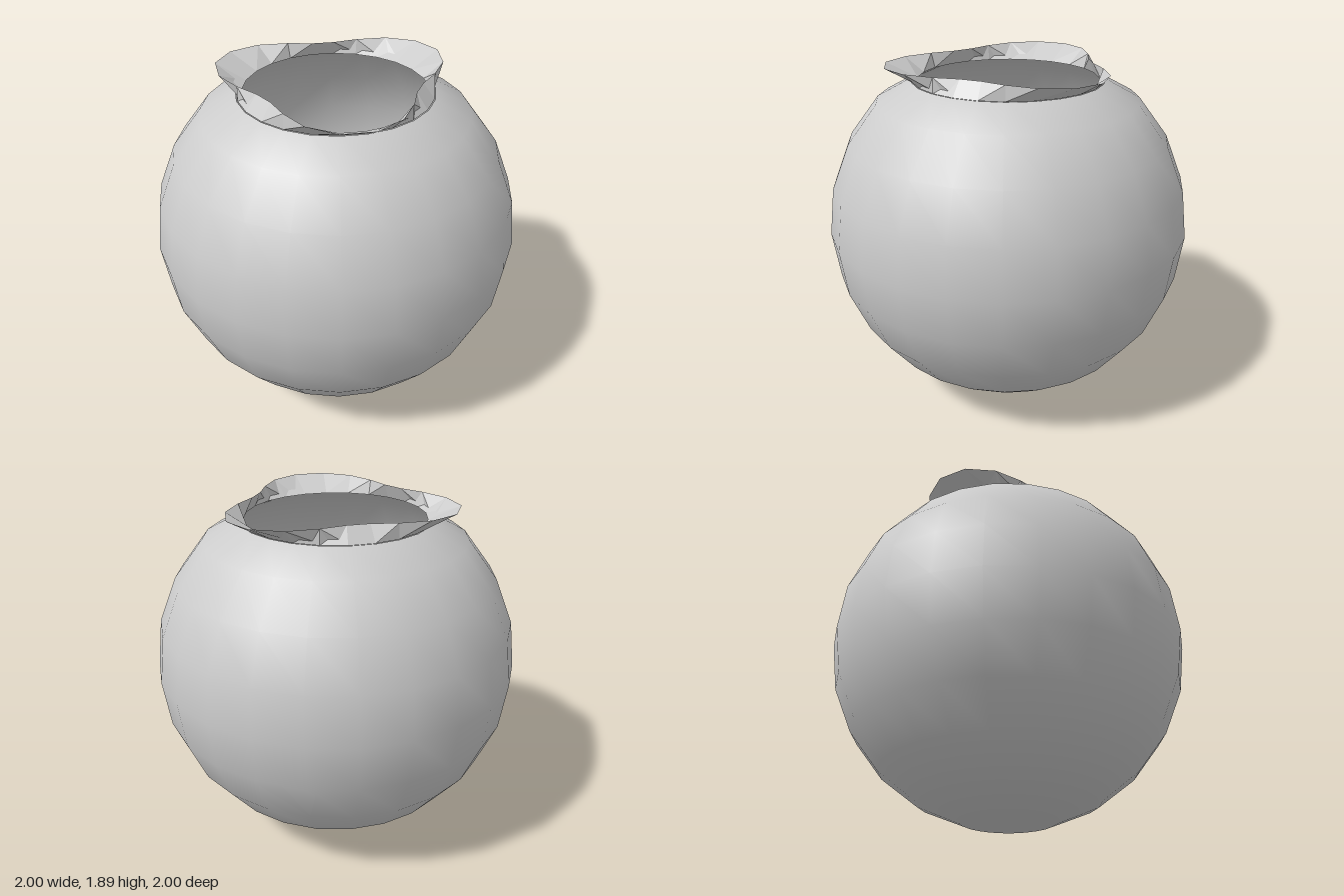
import * as THREE from 'three';

const SEGMENTS = 24;

// Round bowl: sphere profile with the top cut off and flattened to the neck
function makeBowl(material) {
  const profile = [];
  for (let i = 0; i <= 9; i++) {
    const a = (i * Math.PI) / 12;
    profile.push(new THREE.Vector2(Math.sin(a), 1 - Math.cos(a)));
  }
  profile.push(new THREE.Vector2(0.515, 1.81));
  const bowl = new THREE.Mesh(new THREE.LatheGeometry(profile, SEGMENTS), material);
  bowl.name = 'bowl';
  return bowl;
}

// Ruffled rim: circular foot, top edge waving in and out three times
function makeRim(material) {
  const positions = [];
  const index = [];
  for (let i = 0; i <= SEGMENTS; i++) {
    const a = (i * Math.PI * 2) / SEGMENTS;
    const wave = 0.55 + 0.11 * Math.cos(3 * (a - THREE.MathUtils.degToRad(52.5)));
    const section = [[0.51, 1.81], [wave, 1.89], [0.485, 1.81]];
    for (const [r, y] of section) positions.push(r * Math.cos(a), y, r * Math.sin(a));
  }
  for (let i = 0; i < SEGMENTS; i++) {
    for (let j = 0; j < 2; j++) {
      const p = i * 3 + j;
      const q = p + 3;
      index.push(p, p + 1, q, q, p + 1, q + 1);
    }
  }
  const geometry = new THREE.BufferGeometry();
  geometry.setAttribute('position', new THREE.Float32BufferAttribute(positions, 3));
  geometry.setIndex(index);
  geometry.computeVertexNormals();
  const rim = new THREE.Mesh(geometry, material);
  rim.name = 'ruffledRim';
  return rim;
}

export function createModel() {
  const group = new THREE.Group();
  group.name = 'fishBowl';
  const grey = { color: 0xcccccc, side: THREE.DoubleSide };
  group.add(makeBowl(new THREE.MeshStandardMaterial(grey)));
  group.add(makeRim(new THREE.MeshStandardMaterial({ ...grey, flatShading: true })));
  return group;
}
